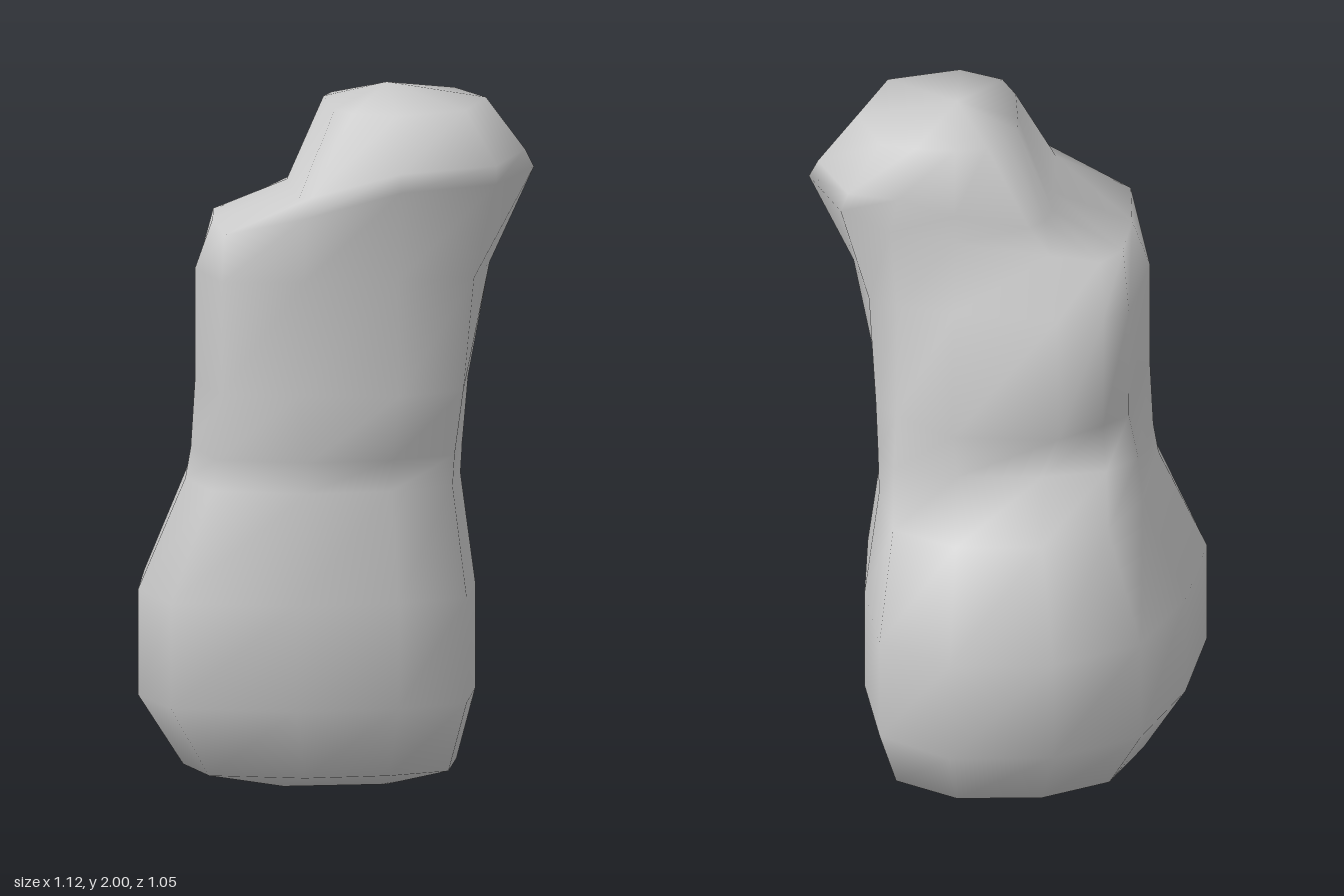
import * as THREE from 'three';
import { mergeVertices } from 'three/addons/utils/BufferGeometryUtils.js';

// Unit outline [x, z], from the front round by +x to the back and on to -x
const OUTLINE = [
  [-0.27, 1], [0.36, 0.97], [0.87, 0.83], [1, 0.34], [1, -0.25], [0.87, -0.77],
  [0.36, -1], [-0.27, -0.97], [-0.7, -0.74], [-0.91, -0.25], [-1, 0.34], [-0.88, 0.82],
];

// Outline stretched to the given reach on each of its four sides
function ring(y, left, right, front, back) {
  return OUTLINE.map(([x, z]) => [x * (x < 0 ? left : right), y, z * (z < 0 ? back : front)]);
}

// Irregular section: [x, z] pairs, with an optional height of their own
const section = (y, points) => points.map(([x, z, h = y]) => [x, h, z]);

function loft(rings, bottom, top) {
  const n = OUTLINE.length;
  const index = [];
  for (let r = 0; r < rings.length - 1; r++) {
    for (let i = 0; i < n; i++) {
      const a = r * n + i, b = r * n + (i + 1) % n;
      index.push(a, b, b + n, a, b + n, a + n);
    }
  }
  // End caps
  const low = rings.length * n, high = low + 1, last = low - n;
  for (let i = 0; i < n; i++) {
    const j = (i + 1) % n;
    index.push(low, j, i, high, last + i, last + j);
  }
  let geometry = new THREE.BufferGeometry();
  const positions = [...rings.flat(), bottom, top].flat();
  geometry.setAttribute('position', new THREE.Float32BufferAttribute(positions, 3));
  geometry.setIndex(index);
  geometry = mergeVertices(geometry, 1e-4);
  geometry.computeVertexNormals();
  return geometry;
}

export function createModel() {
  const foot = ring(0.065, 0.43, 0.34, 0.39, 0.4);
  // Flat patch the rock stands on
  const base = foot.map(([x, , z]) => [
    THREE.MathUtils.clamp(x, -0.15, 0.14), 0, THREE.MathUtils.clamp(z, -0.13, 0.16),
  ]);

  // Overhanging back above the waist
  const chest = section(1.16, [
    [-0.14, 0.43], [0.14, 0.47], [0.33, 0.39], [0.37, 0.16], [0.36, -0.08], [0.3, -0.15],
    [0.14, -0.27], [-0.16, -0.27], [-0.28, -0.19], [-0.35, -0.13], [-0.4, 0.16], [-0.35, 0.385],
  ]);
  const neck = section(1.48, [
    [-0.12, 0.41], [0.14, 0.43], [0.36, 0.39], [0.43, 0.16], [0.38, -0.05], [0.3, -0.09],
    [0.14, -0.13], [-0.15, -0.16], [-0.28, -0.14], [-0.35, -0.11], [-0.4, 0.16], [-0.35, 0.385],
  ]);
  // Low ledge on -x, widest part of the head on +x
  const ledge = section(1.75, [
    [-0.12, 0.41, 1.66], [0.14, 0.525], [0.42, 0.42], [0.555, 0.16], [0.46, -0.03], [0.32, -0.06, 1.7],
    [0.14, -0.08, 1.68], [-0.13, -0.09, 1.65], [-0.27, -0.07, 1.62], [-0.33, 0, 1.62],
    [-0.35, 0.16, 1.62], [-0.34, 0.36, 1.61],
  ]);
  const step = section(1.8, [
    [-0.1, 0.41, 1.72], [0.14, 0.505], [0.42, 0.41], [0.53, 0.16], [0.44, -0.02], [0.3, -0.05],
    [0.14, -0.07, 1.76], [-0.07, -0.06, 1.72], [-0.11, 0, 1.71], [-0.13, 0.06, 1.71],
    [-0.13, 0.16, 1.71], [-0.13, 0.36, 1.71],
  ]);
  const crown = section(1.95, [
    [0.02, 0.37], [0.14, 0.42], [0.34, 0.36], [0.42, 0.16], [0.35, 0], [0.25, -0.02],
    [0.14, -0.03], [0.05, -0.01], [0, 0.03], [-0.03, 0.09], [-0.03, 0.16], [-0.02, 0.29],
  ]);

  const rings = [
    base,
    foot,
    ring(0.27, 0.56, 0.39, 0.47, 0.53),
    ring(0.57, 0.56, 0.39, 0.47, 0.53),
    ring(0.88, 0.425, 0.35, 0.42, 0.4),
    ring(0.97, 0.41, 0.355, 0.43, 0.16), // pinched waist at the back
    chest, neck, ledge, step, crown,
  ];

  const rock = new THREE.Mesh(
    loft(rings, [0, 0, 0.015], [0.14, 2, 0.16]),
    new THREE.MeshStandardMaterial({ color: 0xcccccc }),
  );
  rock.name = 'rock';
  const model = new THREE.Group();
  model.name = 'standingRock';
  model.add(rock);
  return model;
}
